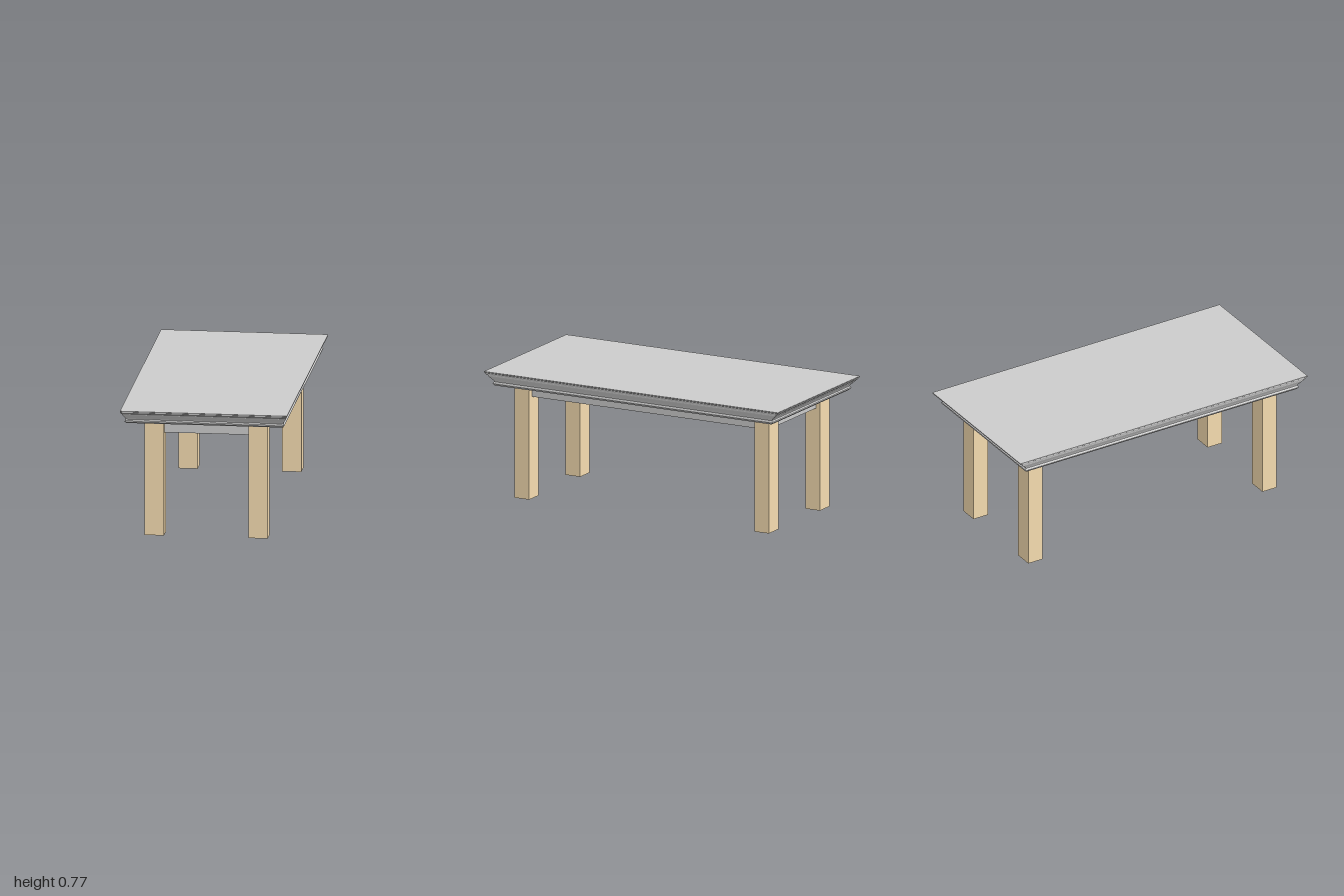
import * as THREE from 'three';

const grey = new THREE.MeshStandardMaterial({ color: 0xcccccc });
const wood = new THREE.MeshStandardMaterial({ color: 0xf5dcb0, side: THREE.DoubleSide });

const UNDERSIDE = 0.688;
const APRON_BOTTOM = 0.613;
const LEG = { x: 0.304, z: 0.8, w: 0.113, d: 0.097 };

// Four-sided lathe, stretched to a rectangle with half sizes hx and hz.
function rectangularLathe(profile, hx, hz) {
  const points = profile.map(([s, y]) => new THREE.Vector2(s * Math.SQRT2, y));
  const geometry = new THREE.LatheGeometry(points, 4, Math.PI / 4).toNonIndexed();
  geometry.scale(hx, 1, hz);
  geometry.computeVertexNormals();
  return geometry;
}

function addMesh(parent, name, geometry, material, x = 0, y = 0, z = 0) {
  const mesh = new THREE.Mesh(geometry, material);
  mesh.name = name;
  mesh.position.set(x, y, z);
  parent.add(mesh);
}

export function createModel() {
  const table = new THREE.Group();
  table.name = 'table';

  // The whole table stands slightly turned
  const body = new THREE.Group();
  body.name = 'tableBody';
  body.rotation.y = 0.038;
  table.add(body);

  // Table top with moulded edge: lip, fillet, cove and foot bead
  const edge = [
    [0, UNDERSIDE], [0.941, UNDERSIDE], [0.945, 0.692], [0.953, 0.698], [0.952, 0.705],
    [0.944, 0.711], [0.946, 0.716], [0.954, 0.724], [0.965, 0.733], [0.975, 0.741],
    [0.979, 0.747], [0.979, 0.751], [0.986, 0.752], [0.991, 0.757], [0.992, 0.763],
    [1, 0.766], [1, 0.772], [0, 0.772],
  ];
  addMesh(body, 'tableTop', rectangularLathe(edge, 0.49, 0.981), grey);

  // Hollow legs, open at the bottom
  const legGeometry = rectangularLathe([[1, 0], [1, UNDERSIDE]], LEG.w / 2, LEG.d / 2);
  for (const sx of [-1, 1]) {
    for (const sz of [-1, 1]) {
      const name = (sz > 0 ? 'front' : 'back') + (sx > 0 ? 'Left' : 'Right') + 'Leg';
      addMesh(body, name, legGeometry, wood, sx * LEG.x, 0, sz * LEG.z);
    }
  }

  // Aprons between the legs
  const h = UNDERSIDE - APRON_BOTTOM;
  const y = APRON_BOTTOM + h / 2;
  const sideApron = new THREE.BoxGeometry(0.05, h, 2 * LEG.z - LEG.d);
  const endApron = new THREE.BoxGeometry(2 * LEG.x - LEG.w, h, 0.045);
  for (const s of [-1, 1]) {
    addMesh(body, s > 0 ? 'leftApron' : 'rightApron', sideApron, grey, s * LEG.x, y, 0);
    addMesh(body, s > 0 ? 'frontApron' : 'backApron', endApron, grey, 0, y, s * LEG.z);
  }

  return table;
}
